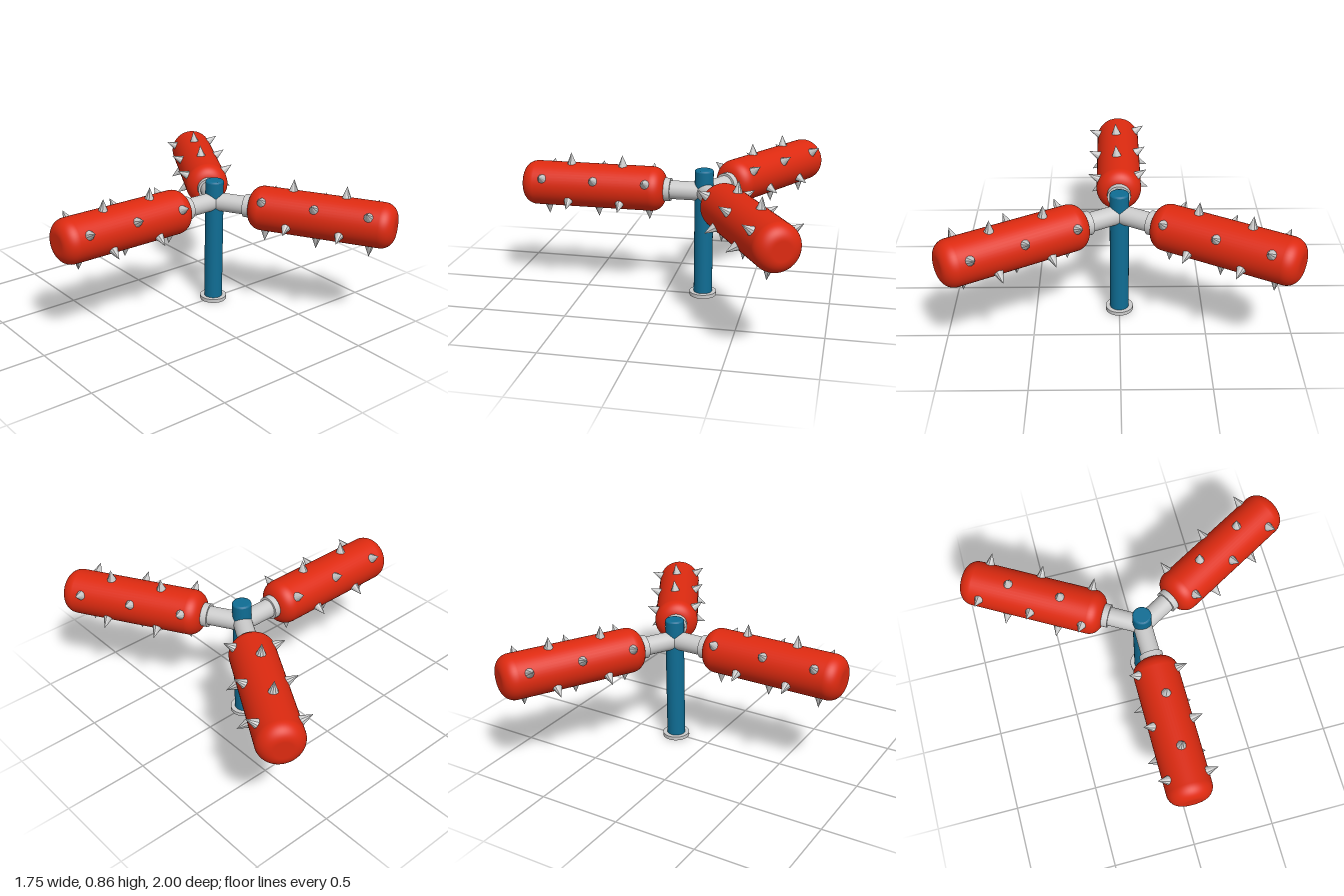
import * as THREE from 'three';

const grey = new THREE.MeshStandardMaterial({ color: 0xcccccc });
const greyFlat = new THREE.MeshStandardMaterial({ color: 0xcccccc, flatShading: true });
const red = new THREE.MeshStandardMaterial({ color: 0xdd2a10 });
const blue = new THREE.MeshStandardMaterial({ color: 0x0f6d94 });

const POST_X = 0.23, ARM_Y = 0.655;
const ROLLER_R = 0.134, ROLLER_START = 0.235, ROLLER_END = 1.11, ROUND = 0.08;

function add(parent, name, geometry, material) {
  const mesh = new THREE.Mesh(geometry, material);
  mesh.name = name;
  parent.add(mesh);
  return mesh;
}

// Cylinder lying along +x between two distances
function rod(radius, from, to) {
  return new THREE.CylinderGeometry(radius, radius, to - from, 32)
    .rotateZ(-Math.PI / 2).translate((from + to) / 2, 0, 0);
}

// Roller with rounded ends, lying along +x
function rollerGeometry() {
  const path = new THREE.Path();
  const inner = ROLLER_R - ROUND;
  path.moveTo(0, ROLLER_START);
  path.lineTo(inner, ROLLER_START);
  path.absarc(inner, ROLLER_START + ROUND, ROUND, -Math.PI / 2, 0, false);
  path.lineTo(ROLLER_R, ROLLER_END - ROUND);
  path.absarc(inner, ROLLER_END - ROUND, ROUND, 0, Math.PI / 2, false);
  path.lineTo(0, ROLLER_END);
  return new THREE.LatheGeometry(path.getPoints(10), 48).rotateZ(-Math.PI / 2);
}

function createArm() {
  const arm = new THREE.Group();
  arm.name = 'arm';
  add(arm, 'neck', rod(0.056, 0, 0.25), grey);
  add(arm, 'collar', rod(0.07, 0.2, 0.242), grey);
  add(arm, 'roller', rollerGeometry(), red);

  // Five rings of three spikes, every other ring turned by 60 degrees
  const spikeGeometry = new THREE.ConeGeometry(0.031, 0.078, 10);
  const up = new THREE.Vector3(0, 1, 0);
  for (let ring = 0; ring < 5; ring++) {
    for (let k = 0; k < 3; k++) {
      const a = THREE.MathUtils.degToRad(25 + (ring % 2) * 60 + k * 120);
      const dir = new THREE.Vector3(0, Math.sin(a), -Math.cos(a));
      const spike = add(arm, 'spike', spikeGeometry, greyFlat);
      spike.quaternion.setFromUnitVectors(up, dir);
      spike.position.copy(dir).multiplyScalar(0.162);
      spike.position.x = 0.335 + ring * 0.1585;
    }
  }
  return arm;
}

export function createModel() {
  const model = new THREE.Group();
  model.name = 'spikedTurnstile';

  // Upright post with a slightly softened top edge
  const postProfile = [[0, 0.018], [0.056, 0.018], [0.056, 0.018], [0.056, 0.78],
    [0.056, 0.78], [0.053, 0.787], [0.046, 0.79], [0.046, 0.79], [0, 0.79]]
    .map(([r, y]) => new THREE.Vector2(r, y));
  add(model, 'post', new THREE.LatheGeometry(postProfile, 40), blue).position.x = POST_X;

  // Open ring foot
  const ring = new THREE.Shape().absarc(0, 0, 0.082, 0, Math.PI * 2);
  ring.holes.push(new THREE.Path().absarc(0, 0, 0.054, 0, Math.PI * 2, true));
  const ringGeometry = new THREE.ExtrudeGeometry(ring, { depth: 0.023, bevelEnabled: false, curveSegments: 32 })
    .rotateX(-Math.PI / 2);
  add(model, 'footRing', ringGeometry, grey).position.x = POST_X;

  // Three arms spread evenly around the post
  for (let i = 0; i < 3; i++) {
    const arm = createArm();
    arm.position.set(POST_X, ARM_Y, 0);
    arm.rotation.y = Math.PI + i * Math.PI * 2 / 3;
    model.add(arm);
  }
  return model;
}
